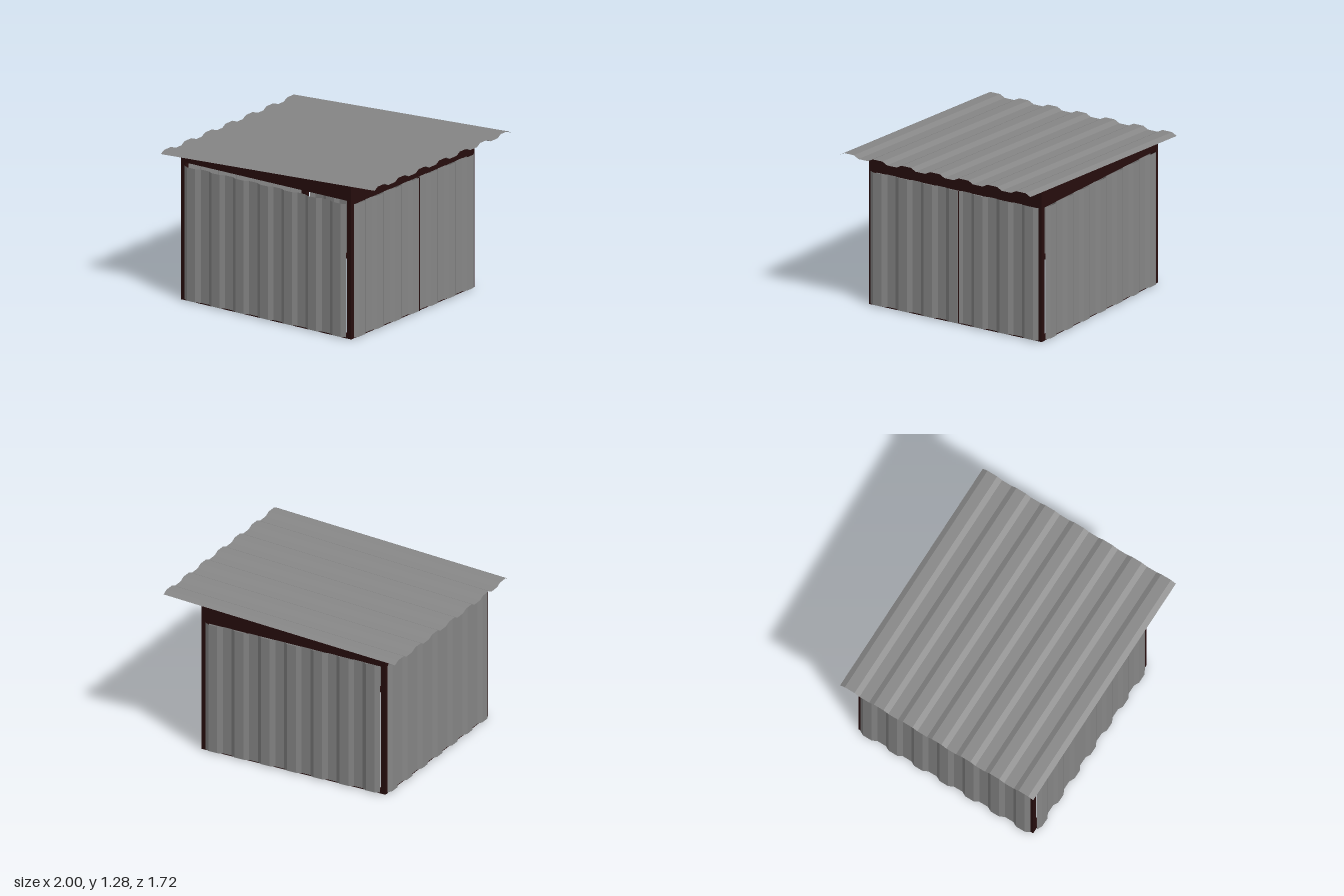
import * as THREE from 'three';

const sheetMetal = new THREE.MeshStandardMaterial({ color: 0x868686, side: THREE.DoubleSide });
sheetMetal.name = 'grey sheet metal';
const timber = new THREE.MeshStandardMaterial({ color: 0x260d0d });
timber.name = 'dark brown timber';

// Frame extents and timber width
const X0 = -0.87, X1 = 0.72, ZF = 0.775, T = 0.04;
const topAt = (x) => 1.13 + (x - X0) * 0.0566;

// Corrugated sheet with trapezoid ribs across x, length along y, crests towards +z
function corrugated(width, length, ribs, depth) {
  const unit = width / (ribs * 6 - 2); // slope 1, crest 2, slope 1, trough 2
  const profile = [];
  for (let i = 0; i < ribs; i++) {
    [[0, -1], [1, 1], [3, 1], [4, -1]].forEach(([u, v]) =>
      profile.push([(i * 6 + u) * unit - width / 2, v * depth / 2]));
  }
  const pos = [];
  for (let i = 0; i < profile.length - 1; i++) {
    const [xa, za] = profile[i], [xb, zb] = profile[i + 1], h = length / 2;
    pos.push(xa, -h, za, xb, -h, zb, xb, h, zb, xa, -h, za, xb, h, zb, xa, h, za);
  }
  const geo = new THREE.BufferGeometry();
  geo.setAttribute('position', new THREE.Float32BufferAttribute(pos, 3));
  geo.computeVertexNormals();
  return geo;
}

export function createModel() {
  const model = new THREE.Group();
  model.name = 'shed';

  const add = (name, geo, mat, x = 0, y = 0, z = 0) => {
    const mesh = new THREE.Mesh(geo, mat);
    mesh.name = name;
    mesh.position.set(x, y, z);
    model.add(mesh);
    return mesh;
  };
  const box = (name, w, h, d, x, y, z) =>
    add(name, new THREE.BoxGeometry(w, h, d), timber, x, y, z);
  // Timber whose top follows the roof pitch
  const pitched = (name, xa, xb, bottom, za, depth) => {
    const shape = new THREE.Shape([
      new THREE.Vector2(xa, bottom), new THREE.Vector2(xb, bottom),
      new THREE.Vector2(xb, topAt(xb)), new THREE.Vector2(xa, topAt(xa)),
    ]);
    add(name, new THREE.ExtrudeGeometry(shape, { depth, bevelEnabled: false }), timber, 0, 0, za);
  };

  const cx = (X0 + X1) / 2, inX = X1 - X0 - 2 * T, inZ = 2 * ZF - 2 * T;

  // Corner posts
  for (const [side, x] of [['right', X0], ['left', X1 - T]]) {
    pitched(side + 'FrontPost', x, x + T, 0, ZF - T, T);
    pitched(side + 'BackPost', x, x + T, 0, -ZF, T);
  }
  // Gable boards, front and back
  pitched('frontGable', X0 + T, X1 - T, 1.09, ZF - T, T);
  pitched('backGable', X0 + T, X1 - T, 1.06, -ZF, T);
  // Top boards of the low and high sides
  pitched('lowTopBeam', X0, X0 + T, 1.07, -ZF + T, inZ);
  pitched('highTopBoard', X1 - T, X1, 1.06, -ZF + T, inZ);
  // Floor rails
  for (const s of [1, -1]) {
    box(s > 0 ? 'frontRail' : 'backRail', inX, 0.03, T, cx, 0.015, s * (ZF - T / 2));
    box(s > 0 ? 'leftRail' : 'rightRail', T, 0.03, inZ, s > 0 ? X1 - T / 2 : X0 + T / 2, 0.015, 0);
  }

  // Corrugated wall panels
  const wall = corrugated(1.51, 1.055, 7, 0.02);
  const wy = 0.54;
  add('frontPanel', wall, sheetMetal, cx, wy, 0.795);
  add('backPanel', wall, sheetMetal, cx, wy, -0.795).rotation.y = Math.PI;
  add('leftPanel', wall, sheetMetal, 0.74, wy, 0).rotation.y = Math.PI / 2;
  add('rightPanel', wall, sheetMetal, -0.887, wy, 0).rotation.y = -Math.PI / 2;
  // Narrow seam in the high side
  box('panelSeam', 0.02, 1.055, 0.005, 0.741, wy, -0.046);

  // Sloping corrugated roof, ribs running along x
  const pitch = Math.atan(0.055);
  const roof = corrugated(1.715, 2 / Math.cos(pitch), 7, 0.022);
  roof.applyMatrix4(new THREE.Matrix4().makeBasis(
    new THREE.Vector3(0, 0, 1), new THREE.Vector3(1, 0, 0), new THREE.Vector3(0, 1, 0)));
  add('roof', roof, sheetMetal, 0, 1.211, 0).rotation.z = pitch;

  return model;
}
